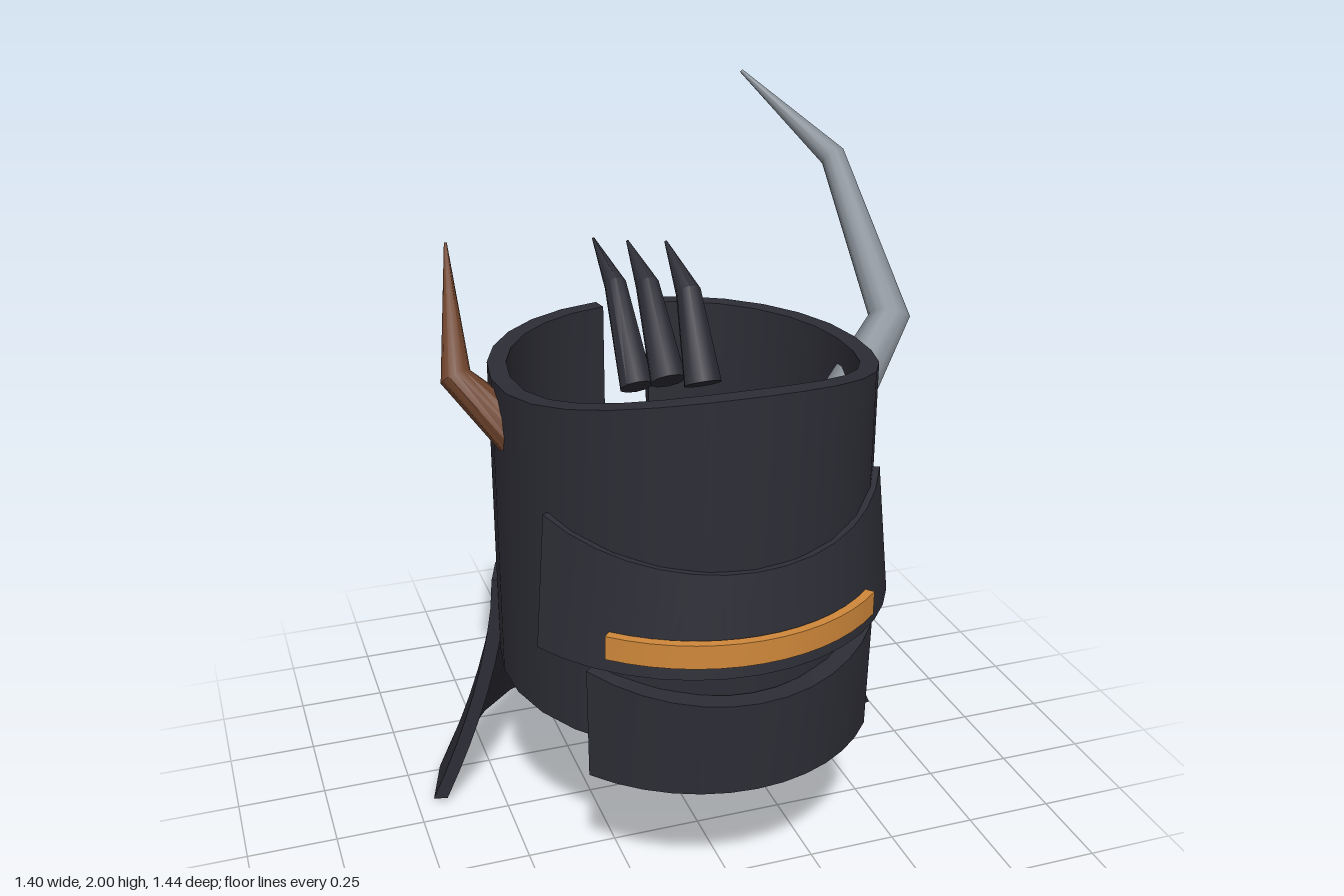
import * as THREE from 'three';
import { toCreasedNormals } from 'three/addons/utils/BufferGeometryUtils.js';

const mat = (name, color) => {
  const m = new THREE.MeshStandardMaterial({ color });
  m.name = name;
  return m;
};

const RAD = Math.PI / 180;
const CENTRE_Z = 0.1;

function makeGeometry(positions, indices, crease) {
  const g = new THREE.BufferGeometry();
  g.setAttribute('position', new THREE.Float32BufferAttribute(positions, 3));
  g.setIndex(indices);
  return toCreasedNormals(g, crease);
}

// Curved plate of even thickness around the oval centre.
// Angles run from the front (0 degrees) towards +x; s goes -1..1 across, v goes 0..1 upwards.
function curvedPlate({ mid = 0, half, cols, rows = 1, thick, bottom, top, radii }) {
  const pos = [], idx = [];
  const m = rows + 1, L = 2 * m;
  for (let i = 0; i <= cols; i++) {
    const s = (2 * i) / cols - 1;
    const a = (mid + s * half) * RAD;
    const y0 = bottom(s, a), y1 = top(s, a);
    for (let k = 0; k < L; k++) {
      const inner = k >= m;
      const v = (inner ? L - 1 - k : k) / rows;
      const [rx, rz] = radii(v);
      const t = inner ? thick : 0;
      pos.push((rx - t) * Math.sin(a), y0 + (y1 - y0) * v, CENTRE_Z + (rz - t) * Math.cos(a));
    }
  }
  const quad = (a, b, c, d) => idx.push(a, b, c, a, c, d);
  for (let i = 0; i < cols; i++) {
    for (let k = 0; k < L; k++) {
      const n = (k + 1) % L;
      quad(i * L + k, (i + 1) * L + k, (i + 1) * L + n, i * L + n);
    }
  }
  // end caps
  const e = cols * L;
  for (let k = 0; k < rows; k++) {
    const o0 = k, o1 = k + 1, i1 = L - 2 - k, i0 = L - 1 - k;
    quad(o0, o1, i1, i0);
    quad(e + o0, e + i0, e + i1, e + o1);
  }
  return makeGeometry(pos, idx, 0.6);
}

// Bent tapering horn: each point is [x, y, z, radius]; rings are mitred at the bends.
function hornGeometry(points, sides = 10) {
  const pos = [], idx = [];
  const p = points.map(([x, y, z]) => new THREE.Vector3(x, y, z));
  const last = p.length - 1;
  p.forEach((c, i) => {
    const t = new THREE.Vector3();
    if (i > 0) t.add(c.clone().sub(p[i - 1]).normalize());
    if (i < last) t.add(p[i + 1].clone().sub(c).normalize());
    t.normalize();
    const u = new THREE.Vector3(0.8, 0, 0.6);
    u.addScaledVector(t, -u.dot(t)).normalize();
    const w = new THREE.Vector3().crossVectors(t, u);
    for (let k = 0; k < sides; k++) {
      const a = (k / sides) * Math.PI * 2;
      const q = c.clone()
        .addScaledVector(u, Math.cos(a) * points[i][3])
        .addScaledVector(w, Math.sin(a) * points[i][3]);
      pos.push(q.x, q.y, q.z);
    }
  });
  for (let i = 0; i < last; i++) {
    for (let k = 0; k < sides; k++) {
      const n = (k + 1) % sides;
      const a = i * sides + k, b = i * sides + n;
      idx.push(a, b, b + sides, a, b + sides, a + sides);
    }
  }
  for (let k = 1; k < sides - 1; k++) {
    idx.push(0, k + 1, k);
    idx.push(last * sides, last * sides + k, last * sides + k + 1);
  }
  return makeGeometry(pos, idx, 0.75);
}

export function createModel() {
  const group = new THREE.Group();
  group.name = 'hornedHelmet';

  const dark = mat('darkIron', 0x2d2d36);
  const amber = mat('amberVisor', 0xd0883a);
  const silver = mat('silverHorn', 0x868e96);
  const brown = mat('brownHorn', 0x6e432c);

  const add = (name, geometry, material) => {
    const mesh = new THREE.Mesh(geometry, material);
    mesh.name = name;
    group.add(mesh);
  };

  // Oval shell, open at the top and split at the back, with a raised brow
  add('shell', curvedPlate({
    half: 171.5, cols: 26, thick: 0.05,
    bottom: () => 0.51,
    top: (s, a) => 1.37 + 0.095 * Math.max(0, Math.cos(a)) ** 2,
    radii: () => [0.51, 0.55],
  }), dark);

  // Brow plate, leaning in towards its top
  add('browPlate', curvedPlate({
    half: 61, cols: 14, thick: 0.06,
    bottom: () => 0.75,
    top: (s) => 1.015 + 0.095 * s * s,
    radii: (v) => [0.56 - 0.035 * v, 0.605 - 0.04 * v],
  }), dark);

  // Glowing eye band
  add('eyeBand', curvedPlate({
    half: 40, cols: 14, thick: 0.025,
    bottom: () => 0.79,
    top: () => 0.855,
    radii: () => [0.565, 0.62],
  }), amber);

  // Jaw plate
  add('jawPlate', curvedPlate({
    half: 48, cols: 12, thick: 0.055,
    bottom: () => 0.41,
    top: (s) => 0.67 + 0.055 * s * s,
    radii: (v) => [0.525 + 0.005 * v, 0.6 + 0.01 * v],
  }), dark);

  // Flared neck guard with a wavy hem
  add('neckGuard', curvedPlate({
    mid: 180, half: 75.5, cols: 14, rows: 8, thick: 0.04,
    bottom: (s, a) => 0.04 - 0.037 * Math.sin(3 * (Math.PI - a)),
    top: () => 0.73,
    radii: (v) => {
      const flare = 0.2 * (1 - v) ** 1.6;
      return [0.525 + flare, 0.565 + flare];
    },
  }), dark);

  // Three crest spikes, [z, y] for base, bend and tip
  const spikes = [
    [[0.265, 1.36], [0.15, 1.57], [-0.03, 1.655]],
    [[-0.01, 1.27], [-0.19, 1.49], [-0.37, 1.565]],
    [[-0.295, 1.15], [-0.495, 1.4], [-0.72, 1.48]],
  ];
  const spikeRadii = [0.05, 0.033, 0.004];
  spikes.forEach((path, i) => {
    add('crestSpike' + (i + 1), hornGeometry(path.map(([z, y], k) => [0, y, z, spikeRadii[k]])), dark);
  });

  // Long horn on the left, broken short horn on the right
  add('leftHorn', hornGeometry([
    [0.37, 1.1, 0.18, 0.085],
    [0.635, 1.4, 0.03, 0.058],
    [0.585, 1.785, -0.28, 0.036],
    [0.39, 1.997, -0.505, 0.005],
  ], 12), silver);
  add('rightHorn', hornGeometry([
    [-0.37, 1.14, 0.18, 0.08],
    [-0.595, 1.375, 0.05, 0.042],
    [-0.553, 1.655, -0.205, 0.004],
  ], 12), brown);

  return group;
}
